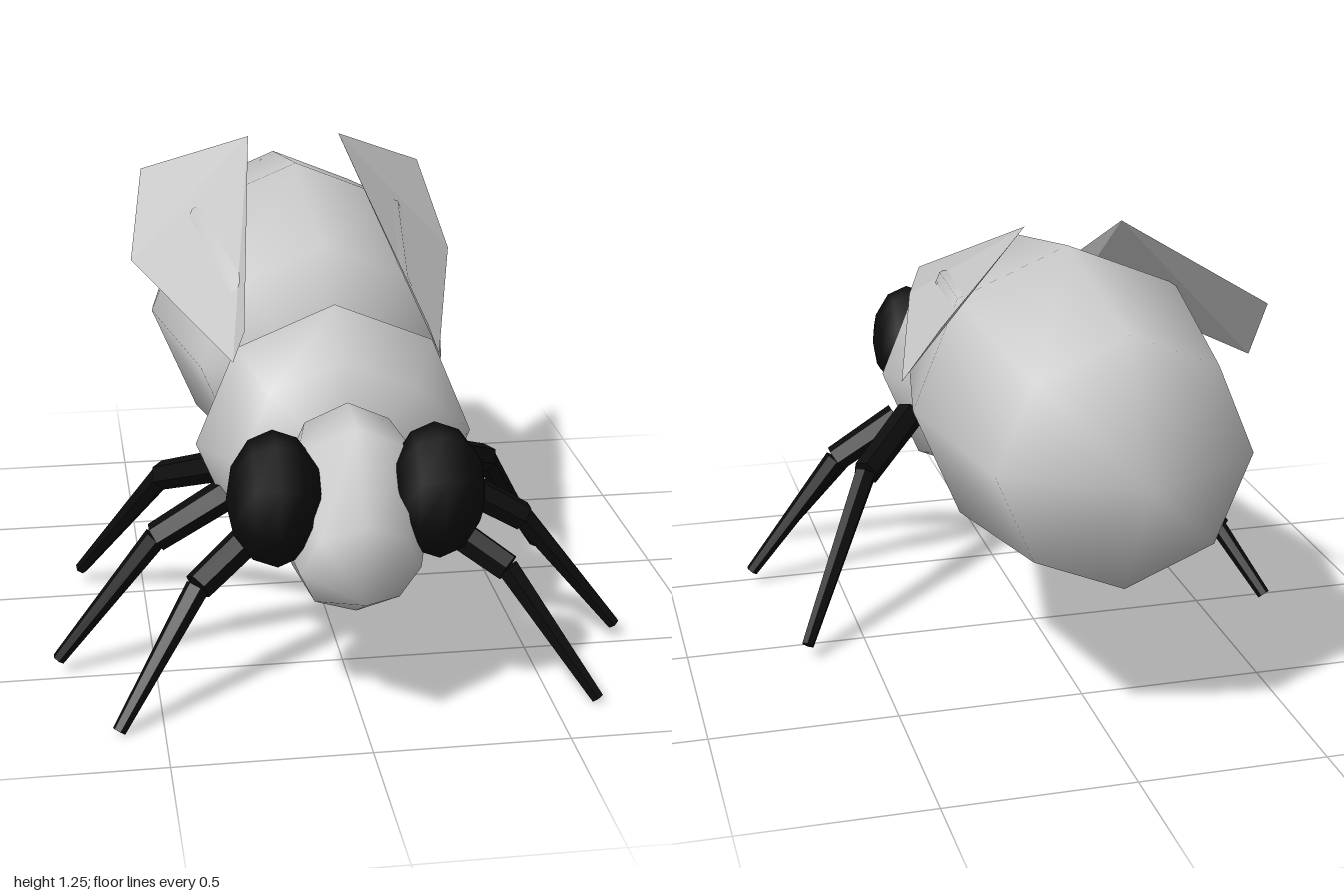
import * as THREE from 'three';
import { mergeVertices } from 'three/addons/utils/BufferGeometryUtils.js';

const CX = -0.02; // body axis
const grey = () => new THREE.MeshStandardMaterial({ color: 0xcccccc });
const black = new THREE.MeshStandardMaterial({ color: 0x0c0c0c });

// Closed smooth body from eight-sided rings, back to front: [zTop, yTop, zBottom, yBottom, halfWidth]
function loft(rings, sides = 8) {
  const pos = [], idx = [];
  for (const [zt, yt, zb, yb, w] of rings) {
    for (let j = 0; j < sides; j++) {
      const a = (j / sides) * Math.PI * 2, c = Math.cos(a) / 2;
      pos.push(w * Math.sin(a), (yt + yb) / 2 + (yt - yb) * c, (zt + zb) / 2 + (zt - zb) * c);
    }
  }
  for (let i = 0; i < rings.length - 1; i++) {
    for (let j = 0; j < sides; j++) {
      const a = i * sides + j, b = i * sides + (j + 1) % sides;
      idx.push(a, a + sides, b, b, a + sides, b + sides);
    }
  }
  let g = new THREE.BufferGeometry();
  g.setAttribute('position', new THREE.Float32BufferAttribute(pos, 3));
  g.setIndex(idx);
  g = mergeVertices(g, 1e-5);
  g.computeVertexNormals();
  return g;
}

// Rings of an upright, z-aligned body from [z, radius] pairs
const upright = (y, pairs) => pairs.map(([z, r]) => [z, y + r, z, y - r, r]);

// Tapered bar between two points
function bar(name, a, b, r0, r1) {
  const dir = b.clone().sub(a);
  const mat = black.clone();
  mat.flatShading = true;
  const m = new THREE.Mesh(new THREE.CylinderGeometry(r1, r0, dir.length(), 6), mat);
  m.position.copy(a).add(b).multiplyScalar(0.5);
  m.quaternion.setFromUnitVectors(new THREE.Vector3(0, 1, 0), dir.normalize());
  m.name = name;
  return m;
}

export function createModel() {
  const model = new THREE.Group();
  model.name = 'fly';
  const add = (name, geo, mat, x = CX, y = 0, z = 0) => {
    const m = new THREE.Mesh(geo, mat);
    m.name = name;
    m.position.set(x, y, z);
    model.add(m);
    return m;
  };

  // Body
  add('abdomen', loft(upright(0.77, [[-1, 0], [-0.8, 0.33], [-0.27, 0.42], [0.25, 0.325], [0.44, 0]])), grey());
  add('thorax', loft(upright(0.64, [[0.28, 0], [0.31, 0.265], [0.47, 0.36], [0.64, 0.265], [0.66, 0]])), grey());
  add('head', loft([
    [0.6, 0.68, 0.6, 0.68, 0],
    [0.69, 0.815, 0.6, 0.46, 0.15],
    [0.83, 0.8, 0.68, 0.32, 0.2],
    [0.975, 0.6, 0.84, 0.32, 0.15],
    [1.0, 0.41, 1.0, 0.41, 0],
  ]), grey());

  for (const s of [-1, 1]) {
    const side = s > 0 ? 'left' : 'right';

    // Eye: poles point sideways
    const eye = new THREE.SphereGeometry(1, 8, 6).rotateY(Math.PI / 8).rotateZ(Math.PI / 2).scale(0.12, 0.173, 0.132);
    add(side + 'Eye', eye, black, CX + s * 0.2, 0.63, 0.833);

    // Wing: thin five-cornered sheet
    const corners = [[0.265, 0.87, 0.51], [0.235, 0.95, 0.51], [0.13, 1.26, -0.32], [0.42, 1.1, -0.63], [0.47, 0.89, -0.38]];
    const wing = new THREE.BufferGeometry();
    wing.setAttribute('position', new THREE.Float32BufferAttribute(corners.flatMap(([x, y, z]) => [s * x, y, z]), 3));
    wing.setIndex(s > 0 ? [0, 4, 2, 0, 2, 1, 4, 3, 2] : [0, 2, 4, 0, 1, 2, 4, 2, 3]);
    wing.computeVertexNormals();
    const wingMat = grey();
    wingMat.side = THREE.DoubleSide;
    wingMat.flatShading = true;
    add(side + 'Wing', wing, wingMat);

    // Legs: hip, knee, foot
    const legs = {
      FrontLeg: [[0.22, 0.45, 0.57], [0.4, 0.34, 0.69], [0.615, 0.02, 0.825]],
      MiddleLeg: [[0.3, 0.5, 0.47], [0.49, 0.385, 0.47], [0.755, 0.05, 0.47]],
      RearLeg: [[0.28, 0.54, 0.37], [0.45, 0.44, 0.18], [0.675, 0.05, -0.095]],
    };
    for (const [name, points] of Object.entries(legs)) {
      const [hip, knee, foot] = points.map(([x, y, z]) => new THREE.Vector3(s * x, y, z));
      const leg = new THREE.Group();
      leg.name = side + name;
      leg.add(bar('upperLeg', hip, knee, 0.044, 0.04), bar('lowerLeg', knee, foot, 0.032, 0.018));
      model.add(leg);
    }
  }
  return model;
}
